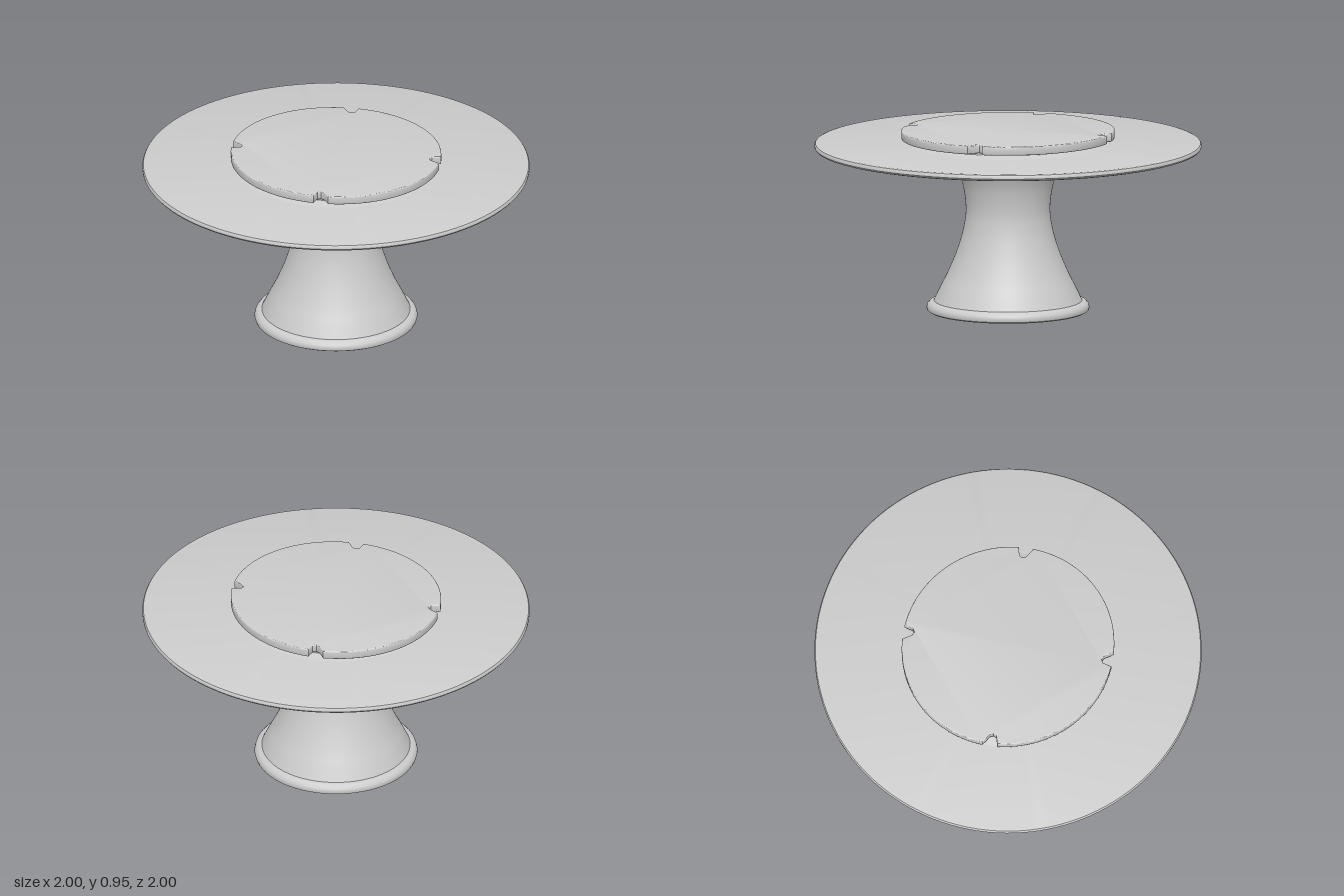
import * as THREE from 'three';
import { toCreasedNormals } from 'three/addons/utils/BufferGeometryUtils.js';

const material = new THREE.MeshStandardMaterial({ color: 0xcccccc, side: THREE.DoubleSide });

function addMesh(group, name, geometry) {
  const mesh = new THREE.Mesh(toCreasedNormals(geometry, 0.6), material);
  mesh.name = name;
  group.add(mesh);
  return mesh;
}

// Revolve [radius, height] pairs, listed from bottom to top on the outside
function lathe(points) {
  return new THREE.LatheGeometry(points.map(([r, y]) => new THREE.Vector2(r, y)), 128);
}

// Disc outline: four arcs separated by small stepped notches on the diagonals
function notchedOutline(rx, rz) {
  const shape = new THREE.Shape();
  const gap = 0.078, steps = 28;
  for (let q = 0; q < 4; q++) {
    const middle = q * Math.PI / 2;
    const half = Math.PI / 4 - gap;
    for (let i = 0; i <= steps; i++) {
      const a = middle - half + (2 * half * i) / steps;
      const x = rx * Math.cos(a), y = rz * Math.sin(a);
      if (q === 0 && i === 0) shape.moveTo(x, y);
      else shape.lineTo(x, y);
    }
    // Inner corners of the notch
    const d = middle + Math.PI / 4;
    for (const [r, offset] of [[0.495, -0.045], [0.483, 0], [0.495, 0.045]]) {
      shape.lineTo(r * Math.cos(d + offset), r * Math.sin(d + offset));
    }
  }
  shape.closePath();
  return shape;
}

export function createModel() {
  const group = new THREE.Group();
  group.name = 'pedestalTable';

  // Rounded foot with a shallow recess underneath
  addMesh(group, 'foot', lathe([
    [0, 0.045], [0.2, 0.038], [0.33, 0.025], [0.355, 0.012], [0.365, 0],
    [0.405, 0], [0.417, 0.007], [0.421, 0.02], [0.417, 0.036], [0.405, 0.049], [0.385, 0.056], [0.34, 0.058],
  ]));

  // Waisted column
  const columnCurve = new THREE.SplineCurve([
    [0.385, 0.052], [0.35, 0.125], [0.312, 0.2], [0.27, 0.3], [0.238, 0.4], [0.222, 0.48],
    [0.218, 0.54], [0.224, 0.61], [0.239, 0.68], [0.268, 0.75], [0.295, 0.787], [0.335, 0.812],
  ].map(([r, y]) => new THREE.Vector2(r, y)));
  addMesh(group, 'column', new THREE.LatheGeometry(columnCurve.getPoints(48), 96));

  // Round top with a faintly ringed underside sloping up to the rim
  const top = [[0.0, 0.80]];
  for (let i = 0; i <= 60; i++) {
    const t = i / 60;
    const ripple = 0.0015 * Math.sin(t * 48) * (1 - t);
    top.push([0.3 + 0.68 * t, 0.803 + 0.042 * t + ripple]);
  }
  top.push([0.993, 0.849], [1, 0.858], [1, 0.869], [0.995, 0.877], [0.985, 0.88], [0, 0.88]);
  addMesh(group, 'tableTop', lathe(top));

  // Low bearing under the turntable
  addMesh(group, 'turntableBearing', lathe([
    [0.54, 0.878], [0.52, 0.884], [0.495, 0.888], [0.48, 0.893], [0.475, 0.91],
  ]));

  // Notched turntable disc
  const bevel = 0.006;
  const disc = new THREE.ExtrudeGeometry(notchedOutline(0.538 - bevel, 0.555 - bevel), {
    depth: 0.045 - 2 * bevel, bevelEnabled: true, bevelThickness: bevel, bevelSize: bevel, bevelSegments: 3,
  });
  disc.rotateX(-Math.PI / 2);
  addMesh(group, 'turntable', disc).position.y = 0.903 + bevel;

  return group;
}
